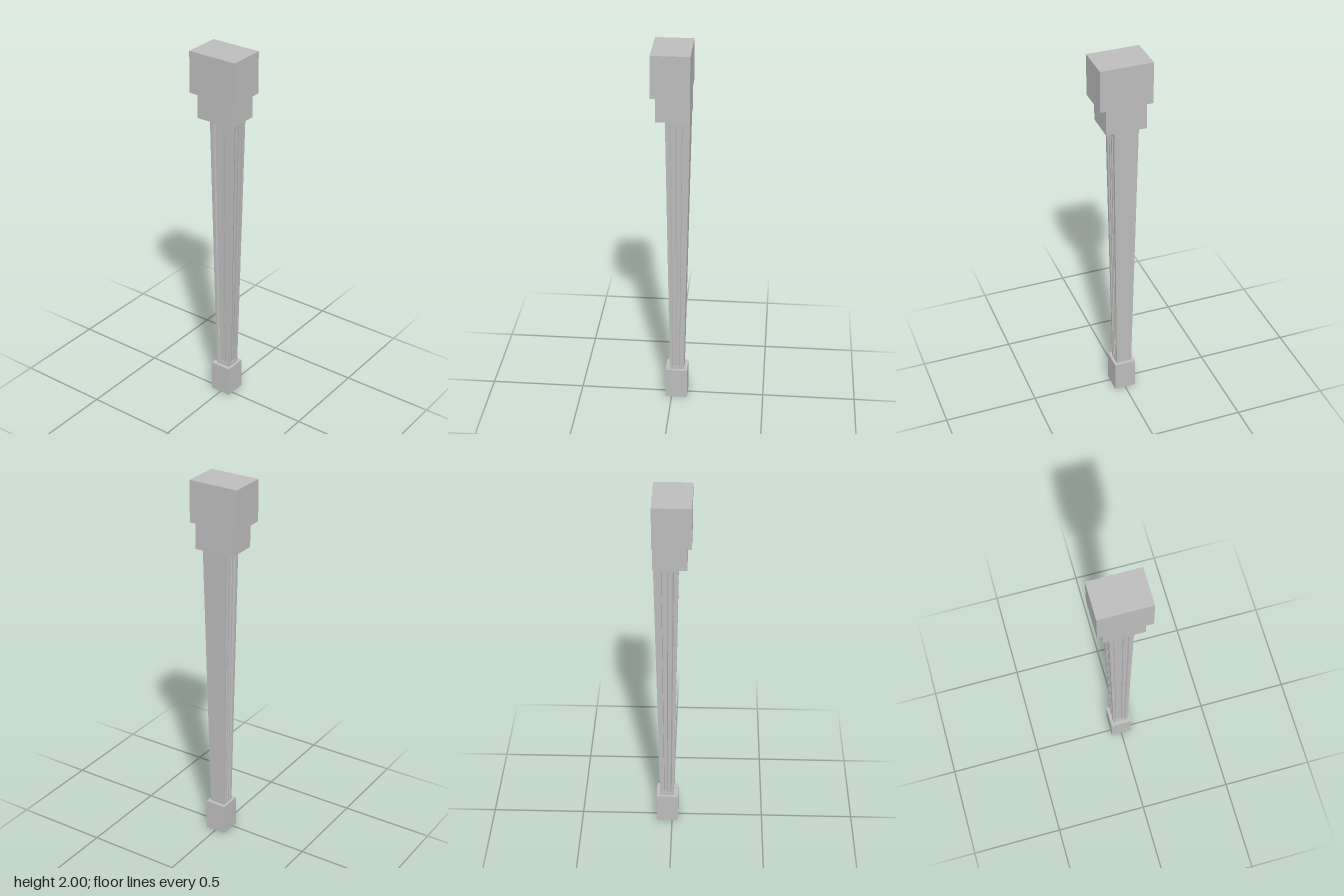
import * as THREE from 'three';

const SHAFT_Y0 = 0.17, SHAFT_Y1 = 1.645, DEPTH = 0.008;
const lerp = THREE.MathUtils.lerp;

// Tapered shaft outline at height fraction v, pulled in by inset (the +x wall side stays put)
function outline(v, inset) {
  return {
    left: lerp(-0.01, -0.032, v) + inset,
    right: lerp(0.066, 0.094, v),
    half: lerp(0.042, 0.064, v) - inset,
  };
}

// Maps a unit geometry (u across, v up, s outward) onto one side of the shaft
function wrap(geometry, side) {
  const g = geometry.index ? geometry.toNonIndexed() : geometry;
  const p = g.attributes.position;
  for (let i = 0; i < p.count; i++) {
    const u = p.getX(i), v = p.getY(i), s = p.getZ(i);
    const o = outline(v, (1 - s) * DEPTH);
    const y = lerp(SHAFT_Y0, SHAFT_Y1, v);
    if (side === 'front') p.setXYZ(i, lerp(o.left, o.right, u), y, o.half);
    else if (side === 'back') p.setXYZ(i, lerp(o.right, o.left, u), y, -o.half);
    else p.setXYZ(i, o.left, y, lerp(-o.half, o.half, u));
  }
  g.computeVertexNormals();
  return g;
}

function unitRect(path, u0, u1, v0, v1) {
  path.moveTo(u0, v0);
  path.lineTo(u1, v0);
  path.lineTo(u1, v1);
  path.lineTo(u0, v1);
  path.closePath();
  return path;
}

export function createModel() {
  const model = new THREE.Group();
  model.name = 'pilaster';
  const stone = new THREE.MeshStandardMaterial({ color: 0xbcbcbc });
  stone.name = 'grey stone';

  function add(name, geometry, parent = model) {
    const mesh = new THREE.Mesh(geometry, stone);
    mesh.name = name;
    parent.add(mesh);
  }

  function block(name, x0, x1, y0, y1, half) {
    const g = new THREE.BoxGeometry(x1 - x0, y1 - y0, half * 2);
    g.translate((x0 + x1) / 2, (y0 + y1) / 2, 0);
    add(name, g);
  }

  // Foot and stepped capital, nearly flush on the wall side
  block('foot', -0.032, 0.085, 0, 0.17, 0.058);
  block('lowerCapital', -0.076, 0.095, 1.645, 1.78, 0.106);
  block('upperCapital', -0.098, 0.098, 1.78, 2, 0.137);

  // Shaft core, forming the floor of the recessed panels
  const core = new THREE.BoxGeometry(1, 1, 1).toNonIndexed();
  const p = core.attributes.position;
  for (let i = 0; i < p.count; i++) {
    const v = p.getY(i) + 0.5;
    const o = outline(v, DEPTH);
    p.setXYZ(i, p.getX(i) < 0 ? o.left : o.right, lerp(SHAFT_Y0, SHAFT_Y1, v), Math.sign(p.getZ(i)) * o.half);
  }
  core.computeVertexNormals();
  add('shaftCore', core);

  // Framed panel with two upright reeds on the front, back and -x sides
  const v0 = 0.011, v1 = 0.98;
  for (const side of ['front', 'back', 'outer']) {
    const panel = new THREE.Group();
    panel.name = side + 'Panel';
    model.add(panel);

    const shape = unitRect(new THREE.Shape(), 0, 1, 0, 1);
    shape.holes.push(unitRect(new THREE.Path(), 0.17, 0.83, v0, v1));
    add('frame', wrap(new THREE.ExtrudeGeometry(shape, { depth: 1, bevelEnabled: false }), side), panel);

    for (const u of [0.375, 0.625]) {
      const reed = new THREE.BoxGeometry(0.09, v1 - v0, 0.85);
      reed.translate(u, (v0 + v1) / 2, 0.425);
      add('reed', wrap(reed, side), panel);
    }
  }
  return model;
}
